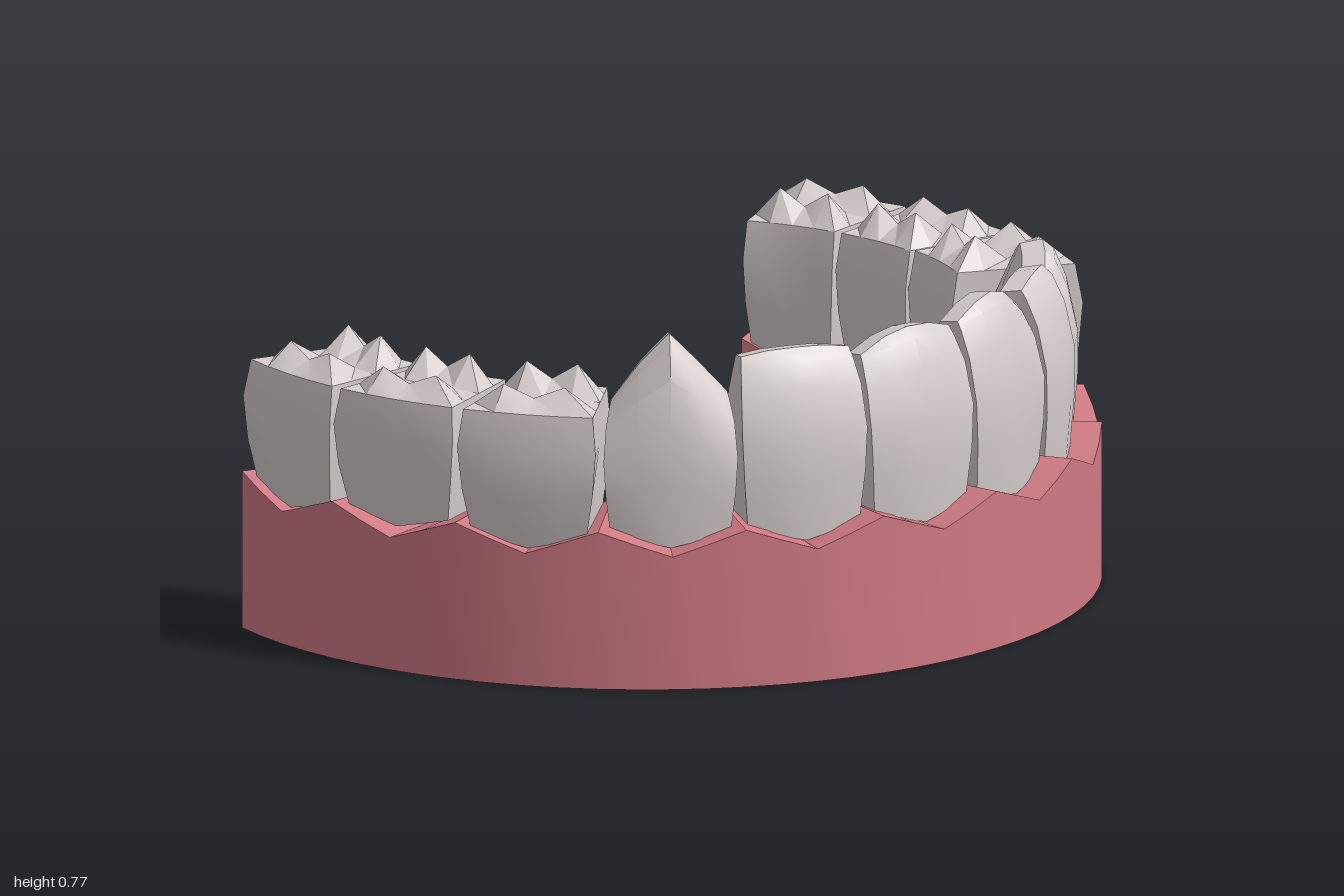
import * as THREE from 'three';
import { toCreasedNormals } from 'three/addons/utils/BufferGeometryUtils.js';

const ARC_X = -0.31;                            // centre of the dental arch
const ARC = THREE.MathUtils.degToRad(112.5);    // half sweep of the arch
const TEETH = 12;
const STEP = 2 * ARC / TEETH;

// Closed body swept along the arch; point(i, k) gives [radius, angle, height]
// for column i of the sweep and point k of the closed section.
function sweep(columns, count, point) {
  const pos = [], index = [];
  for (let i = 0; i < columns; i++) {
    for (let k = 0; k < count; k++) {
      const [r, a, y] = point(i, k);
      pos.push(ARC_X + r * Math.cos(a), y, r * Math.sin(a));
    }
  }
  for (let i = 0; i < columns - 1; i++) {
    for (let k = 0; k < count; k++) {
      const n = (k + 1) % count;
      const a = i * count + k, b = i * count + n;
      const c = b + count, d = a + count;
      index.push(a, b, c, a, c, d);
    }
  }
  // end caps, fanned from the middle of each end section
  for (const col of [0, columns - 1]) {
    const mid = [0, 0, 0];
    for (let k = 0; k < count; k++) {
      for (let c = 0; c < 3; c++) mid[c] += pos[(col * count + k) * 3 + c] / count;
    }
    const m = pos.length / 3;
    pos.push(...mid);
    for (let k = 0; k < count; k++) {
      const a = col * count + k, b = col * count + (k + 1) % count;
      if (col === 0) index.push(m, b, a);
      else index.push(m, a, b);
    }
  }
  const geo = new THREE.BufferGeometry();
  geo.setAttribute('position', new THREE.Float32BufferAttribute(pos, 3));
  geo.setIndex(index);
  return toCreasedNormals(geo, 0.5);
}

// Sections: [radius, share of the height, half width in radians, cusp height]
const MOLAR = [
  [0.975, 0, 0.135, 0], [0.993, 0.35, 0.15, 0], [1.0, 0.7, 0.158, 0], [0.985, 1, 0.15, 0],
  [0.925, 1, 0.15, 0.05], [0.85, 1, 0.15, 0.005], [0.775, 1, 0.15, 0.065],
  [0.715, 1, 0.15, 0], [0.7, 0.7, 0.157, 0], [0.703, 0.35, 0.15, 0], [0.715, 0, 0.135, 0],
];
const FRONT = [
  [0.94, 0, 0.143, 0], [0.95, 0.3, 0.153, 0], [0.95, 0.55, 0.158, 0], [0.928, 0.8, 0.155, 0],
  [0.9, 0.95, 0.149, 0], [0.875, 1, 0.146, 0], [0.825, 0.98, 0.146, 0],
  [0.785, 0.75, 0.153, 0], [0.752, 0.5, 0.157, 0], [0.724, 0.25, 0.152, 0], [0.72, 0, 0.143, 0],
];
const COLS = [-1, -0.5, 0, 0.5, 1];
const CUSP = [0, 1, 0.45, 1, 0];               // cusps sit at the quarter points

function toothGeometry(section, centre, tops, root) {
  return sweep(COLS.length, section.length, (i, k) => {
    const u = COLS[i];
    const [r, t, half, cusp] = section[k];
    const bottom = root + 0.03 * Math.abs(u);
    const y = bottom + t * (tops[i] - bottom) + cusp * CUSP[i];
    const bulge = k < 5 && section === FRONT ? 0.012 * u * u : 0;
    return [r - bulge, centre + u * half, y];
  });
}

// Upper edge of each tooth, in order from the -z end to the +z end
const flat = y => [y, y, y, y, y];
const TOPS = [
  flat(0.62), flat(0.62), flat(0.625),
  [0.64, 0.7, 0.73, 0.72, 0.66],
  [0.7, 0.73, 0.737, 0.735, 0.72],
  [0.7, 0.74, 0.757, 0.745, 0.715],
  [0.715, 0.732, 0.735, 0.722, 0.69],
  [0.715, 0.725, 0.727, 0.725, 0.715],
  [0.64, 0.71, 0.775, 0.71, 0.625],
  flat(0.61), flat(0.61), flat(0.61),
];

export function createModel() {
  const model = new THREE.Group();
  model.name = 'dentalArch';

  const gumPink = new THREE.MeshStandardMaterial({ color: 0xd07a84 });
  gumPink.name = 'gumPink';
  const enamel = new THREE.MeshStandardMaterial({ color: 0xd6cecd });
  enamel.name = 'enamel';

  // gum band with a scalloped upper edge, dipping under each tooth
  const perTooth = 4, columns = TEETH * perTooth + 1;
  const gum = new THREE.Mesh(sweep(columns, 4, (i, k) => {
    const dip = 1 - Math.abs((i % perTooth) / perTooth * 2 - 1);
    const top = 0.355 - 0.055 * dip;
    const r = k < 2 ? 1.0 : 0.705;
    return [r, -ARC + i * STEP / perTooth, k === 1 || k === 2 ? top : 0];
  }), gumPink);
  gum.name = 'gum';
  model.add(gum);

  // teeth: three molars at each end, a canine, then incisors in the middle
  const teeth = new THREE.Group();
  teeth.name = 'teeth';
  const kinds = ['molar', 'molar', 'molar', 'canine', 'incisor', 'incisor'];
  for (let i = 0; i < TEETH; i++) {
    const kind = kinds[Math.min(i, TEETH - 1 - i)];
    const section = kind === 'molar' ? MOLAR : FRONT;
    const root = i === 1 || i === 10 ? 0.32 : 0.305;
    const tooth = new THREE.Mesh(
      toothGeometry(section, -ARC + (i + 0.5) * STEP, TOPS[i], root), enamel);
    tooth.name = kind + (i + 1);
    teeth.add(tooth);
  }
  model.add(teeth);
  return model;
}
